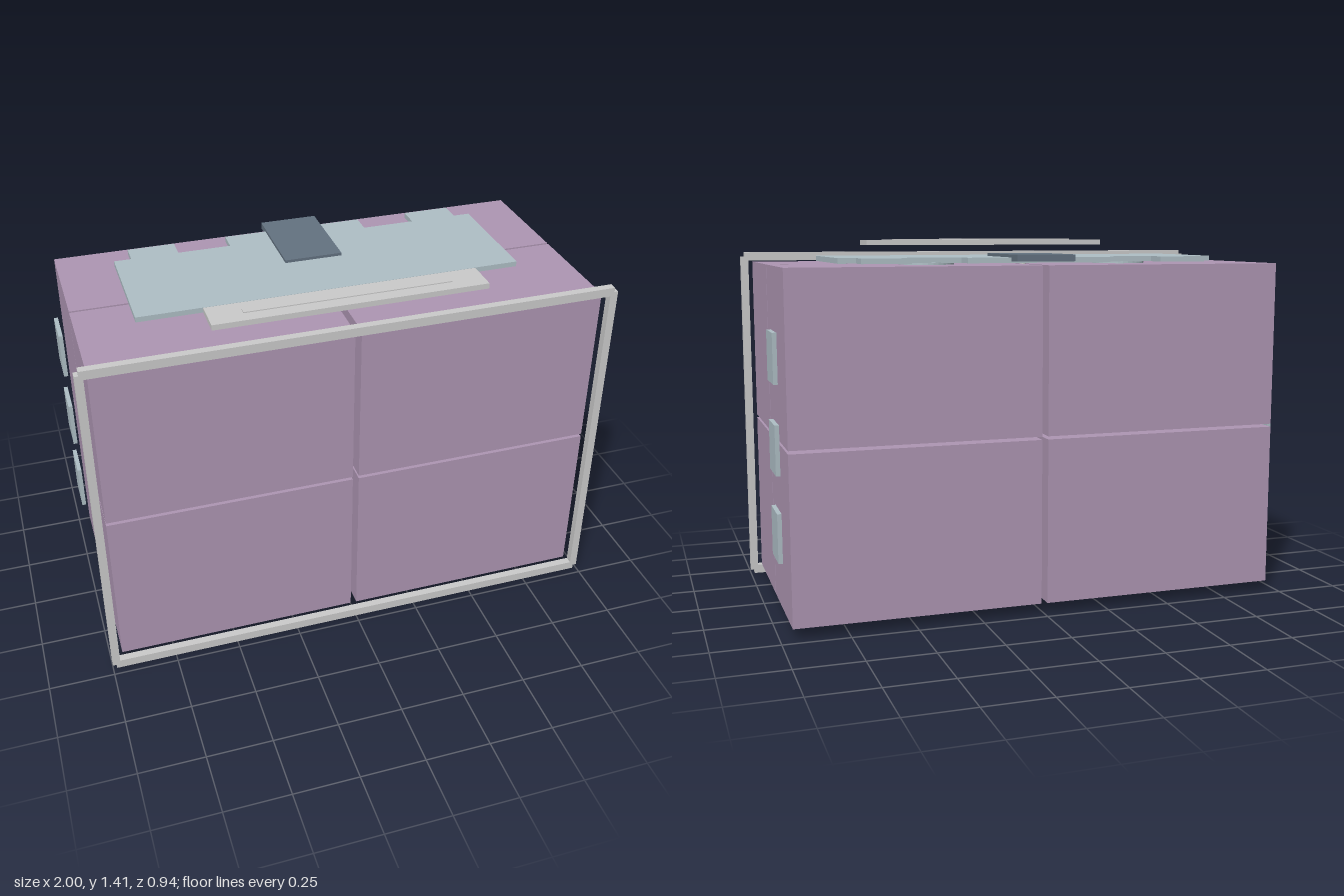
import * as THREE from 'three';

const material = (color) => new THREE.MeshStandardMaterial({ color, flatShading: true });

export function createModel() {
  const root = new THREE.Group();
  const grey = material(0xcccccc);
  const purple = material(0xae96b3);
  const pale = material(0xafbfc6);
  const dark = material(0x637280);

  const add = (name, geometry, mat) => {
    const mesh = new THREE.Mesh(geometry, mat);
    mesh.name = name;
    root.add(mesh);
    return mesh;
  };
  // Box given by its limits along each axis
  const box = (name, [x0, x1], [y0, y1], [z0, z1], mat) => {
    const g = new THREE.BoxGeometry(x1 - x0, y1 - y0, z1 - z0);
    g.translate((x0 + x1) / 2, (y0 + y1) / 2, (z0 + z1) / 2);
    return add(name, g, mat);
  };

  // Eight body blocks with narrow gaps between them
  for (const x of [[-0.955, -0.012], [0.012, 0.955]])
    for (const y of [[0.041, 0.674], [0.686, 1.32]])
      for (const z of [[-0.465, -0.021], [-0.011, 0.432]])
        box('bodyBlock', x, y, z, purple);

  // Front frame: rails stop short of the posts' outer faces
  const frameZ = [0.439, 0.469];
  box('bottomRail', [-0.985, 0.985], [0, 0.035], frameZ, grey);
  box('topRail', [-0.985, 0.985], [1.324, 1.358], frameZ, grey);
  for (const s of [-1, 1]) {
    const post = box('framePost', [-0.015, 0.015], [0.017, 1.341], frameZ, grey);
    post.position.x = s * 0.985;

    // Three panels standing off each side
    for (const y of [0.359, 0.678, 1.004]) {
      const panel = box('sidePanel', [-0.008, 0.008], [y - 0.091, y + 0.091], [-0.405, -0.25], pale);
      panel.position.x = s * 0.983;
    }

    // Thin discs under the top plate
    const disc = add('plateDisc', new THREE.CylinderGeometry(0.103, 0.103, 0.008, 32), pale);
    disc.position.set(s * 0.388, 1.325, -0.222);
  }

  // Notched top plate: half of its outline, mirrored
  const half = [[0.74, -0.145], [0.74, 0.32], [0.673, 0.32], [0.673, 0.405],
    [0.488, 0.405], [0.488, 0.32], [0.28, 0.32], [0.28, 0.405]];
  const outline = [...half, ...half.map(([x, y]) => [-x, y]).reverse()];
  const plate = new THREE.ExtrudeGeometry(
    new THREE.Shape(outline.map(([x, y]) => new THREE.Vector2(x, y))),
    { depth: 0.02, bevelEnabled: false });
  plate.rotateX(-Math.PI / 2).translate(0, 1.328, 0);
  add('topPlate', plate, pale);

  // Dark cover at the back, with a short pin in the gap below
  box('darkCover', [-0.113, 0.113], [1.334, 1.359], [-0.468, -0.108], dark);
  const pin = add('centrePin', new THREE.CylinderGeometry(0.012, 0.012, 0.06, 12), grey);
  pin.position.set(0, 1.3, -0.2);

  // Floating bar with a thin raised strip
  box('topBar', [-0.515, 0.515], [1.387, 1.408], [0.255, 0.385], grey);
  box('barStrip', [-0.39, 0.39], [1.406, 1.412], [0.305, 0.335], grey);

  return root;
}
